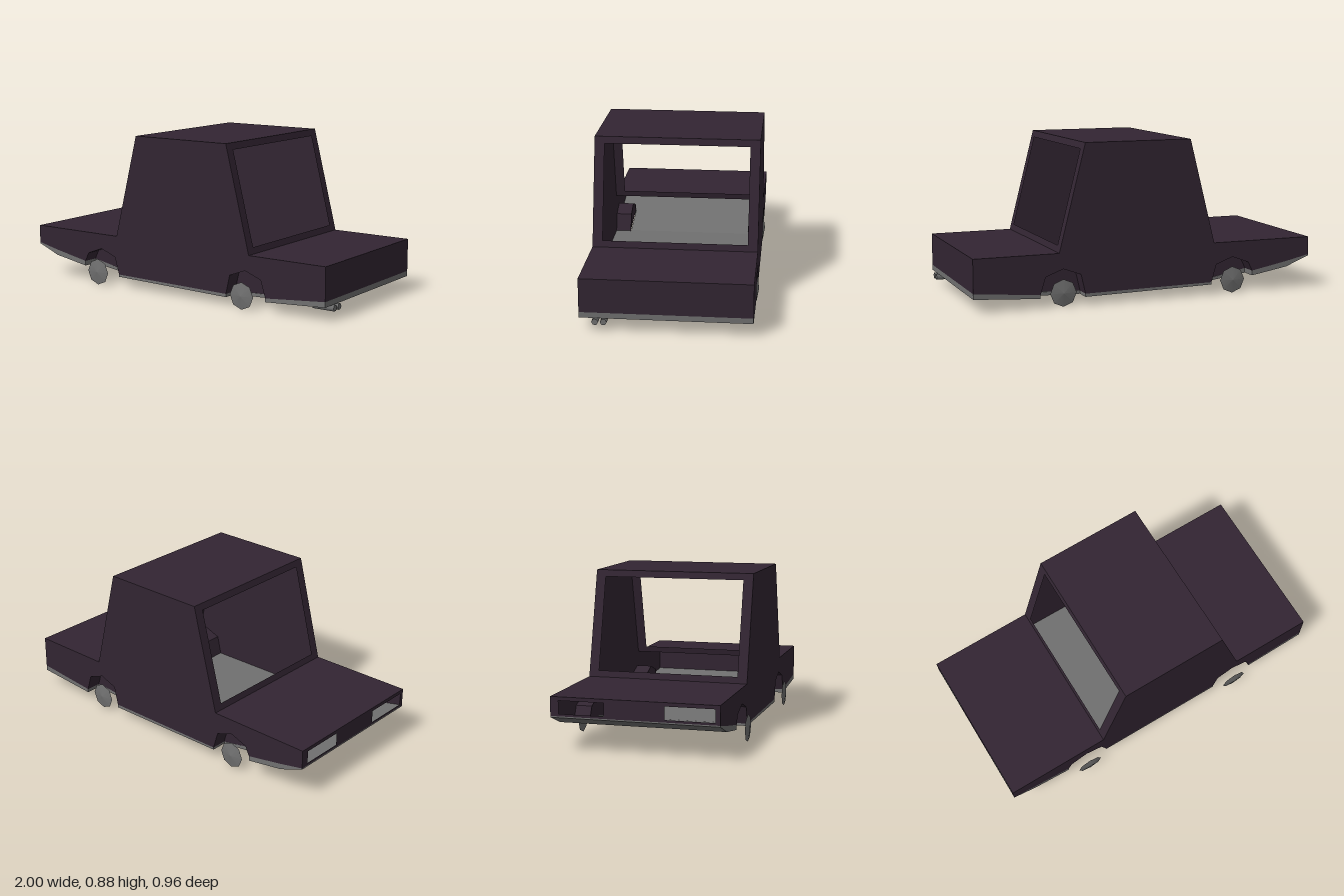
import * as THREE from 'three';

const paint = new THREE.MeshStandardMaterial({ color: 0x322532, side: THREE.DoubleSide });
paint.name = 'dark plum paint';
const metal = new THREE.MeshStandardMaterial({ color: 0x707070, side: THREE.DoubleSide });
metal.name = 'grey metal';

const Z0 = -0.47, Z1 = 0.435, DEPTH = 0.09; // body sides and wheel well depth
const NOSE = -1, TAIL = 0.99, DECK = 0.29, ROOF = 0.877;
const WHEELS = [-0.515, 0.492];
// Underside stations: x, bottom of the floor pan, bottom of the painted body
const SILL = [
  [NOSE, 0.18, 0.187], [-0.86, 0.125, 0.157], [-0.62, 0.085, 0.112], [-0.4, 0.055, 0.068],
  [0.4, 0.042, 0.06], [0.6, 0.05, 0.07], [TAIL, 0.075, 0.105],
];
const ARCH = [[-0.125], [-0.1, 0.167], [0, 0.204], [0.1, 0.167], [0.13]];

function sillAt(x, k) {
  const i = Math.min(SILL.length - 2, Math.max(0, SILL.findIndex((s) => s[0] >= x) - 1));
  const a = SILL[i], b = SILL[i + 1];
  return a[k] + ((b[k] - a[k]) * (x - a[0])) / (b[0] - a[0]);
}

const shapeOf = (pts) => new THREE.Shape(pts.map((p) => new THREE.Vector2(p[0], p[1])));
const rectangle = (x0, x1, y0, y1) => [[x0, y0], [x1, y0], [x1, y1], [x0, y1]];

// Outline of one wheel arch, from its front foot to its rear foot
const archPoints = (cx) => ARCH.map(([dx, y]) => [cx + dx, y ?? sillAt(cx + dx, 2)]);

// Sheet swept across z along an (x, y) line
function sheet(line, z0, z1) {
  const pos = [];
  for (let i = 0; i < line.length - 1; i++) {
    const [ax, ay] = line[i], [bx, by] = line[i + 1];
    pos.push(ax, ay, z0, ax, ay, z1, bx, by, z1, ax, ay, z0, bx, by, z1, bx, by, z0);
  }
  const g = new THREE.BufferGeometry();
  g.setAttribute('position', new THREE.Float32BufferAttribute(pos, 3));
  g.computeVertexNormals();
  return g;
}

// Flat end panel in (z, y), leaning from x0 at its foot to x1 at its top
function endPanel(outline, holes, x0, x1, facing) {
  const shape = shapeOf(outline);
  holes.forEach((h) => shape.holes.push(new THREE.Path(shapeOf(h).getPoints())));
  const g = new THREE.ShapeGeometry(shape);
  const ys = outline.map((p) => p[1]), lo = Math.min(...ys), hi = Math.max(...ys);
  const p = g.attributes.position;
  for (let i = 0; i < p.count; i++) {
    const z = p.getX(i), y = p.getY(i);
    p.setXYZ(i, x0 + ((x1 - x0) * (y - lo)) / (hi - lo), y, z);
  }
  // (z, y) drawn counter-clockwise faces -x, so flip panels that face +x
  if (facing > 0) {
    const idx = g.index.array;
    for (let i = 0; i < idx.length; i += 3) [idx[i], idx[i + 1]] = [idx[i + 1], idx[i]];
  }
  g.computeVertexNormals();
  return g;
}

// Floor slab between two x positions and two z positions
function floorSlab(x0, x1, z0, z1) {
  const xs = [x0, ...SILL.map((s) => s[0]).filter((x) => x > x0 && x < x1), x1];
  const pts = [
    ...xs.map((x) => [x, sillAt(x, 1)]),
    ...xs.slice().reverse().map((x) => [x, sillAt(x, 2)]),
  ];
  const g = new THREE.ExtrudeGeometry(shapeOf(pts), { depth: z1 - z0, bevelEnabled: false });
  g.translate(0, 0, z0);
  return g;
}

export function createModel() {
  const car = new THREE.Group();
  car.name = 'car';
  const add = (name, geometry, material) => {
    const mesh = new THREE.Mesh(geometry, material);
    mesh.name = name;
    car.add(mesh);
    return mesh;
  };

  // Side panels: one silhouette with both wheel arches cut out
  const [front, rear] = WHEELS.map(archPoints);
  const sillPoint = (i) => [SILL[i][0], SILL[i][2]];
  const side = shapeOf([
    sillPoint(0), sillPoint(1), ...front, ...rear, sillPoint(6),
    [TAIL, DECK], [0.515, DECK], [0.365, ROOF], [-0.25, ROOF], [-0.4, DECK], [NOSE, DECK],
  ]);
  add('leftSidePanel', new THREE.ShapeGeometry(side).translate(0, 0, Z1), paint);
  add('rightSidePanel', new THREE.ShapeGeometry(side).rotateY(Math.PI).scale(-1, 1, 1)
    .translate(0, 0, Z0), paint);

  // Horizontal skins
  add('bonnet', sheet([[NOSE, DECK], [-0.4, DECK]], Z0, Z1), paint);
  add('roof', sheet([[-0.25, ROOF], [0.365, ROOF]], Z0, Z1), paint);
  add('bootLid', sheet([[0.515, DECK], [TAIL, DECK]], Z0, Z1), paint);

  // Open window frames
  const frame = rectangle(Z0, Z1, DECK, ROOF);
  const opening = rectangle(-0.415, 0.38, 0.325, 0.84);
  add('windscreenFrame', endPanel(frame, [opening], -0.4, -0.25, -1), paint);
  add('rearWindowFrame', endPanel(frame, [opening], 0.515, 0.365, 1), paint);

  // Nose with two headlight openings, and the flat tail
  const lamps = [[-0.425, -0.18], [0.145, 0.41]].map(([a, b]) => rectangle(a, b, 0.2, 0.27));
  add('nosePanel', endPanel(rectangle(Z0, Z1, 0.187, DECK), lamps, NOSE, NOSE, -1), paint);
  add('tailPanel', endPanel(rectangle(Z0, Z1, 0.105, DECK), [], TAIL, TAIL, 1), paint);

  // Floor pan, notched around the wheel wells
  add('floorPan', floorSlab(NOSE, TAIL, Z0 + DEPTH, Z1 - DEPTH), metal);
  const spans = [[NOSE, front[0][0]], [front[4][0], rear[0][0]], [rear[4][0], TAIL]];
  for (const [x0, x1] of spans) {
    add('rightFloorEdge', floorSlab(x0, x1, Z0, Z0 + DEPTH), metal);
    add('leftFloorEdge', floorSlab(x0, x1, Z1 - DEPTH, Z1), metal);
  }

  // Wheel wells and shallow conical wheels
  WHEELS.forEach((cx, i) => {
    const arch = [front, rear][i];
    const end = i ? 'rear' : 'front';
    for (const s of [1, -1]) {
      const outer = s > 0 ? Z1 : Z0, inner = outer - s * DEPTH;
      add(end + 'WheelWell', sheet(arch, outer, inner), paint);
      add(end + 'WheelWellBack', new THREE.ShapeGeometry(shapeOf(arch))
        .translate(0, 0, inner + s * 0.002), paint);
      const wheel = add(end + 'Wheel', new THREE.ConeGeometry(0.075, 0.012, 8), metal);
      wheel.rotation.x = (s * Math.PI) / 2;
      wheel.position.set(cx, 0.073, s * 0.474);
    }
  });

  // Twin exhaust pipes
  for (const z of [0.305, 0.35]) {
    const pipe = add('exhaustPipe', new THREE.CylinderGeometry(0.018, 0.018, 0.13, 6), metal);
    pipe.rotation.z = Math.PI / 2;
    pipe.position.set(0.935, 0.057, z);
  }
  return car;
}
